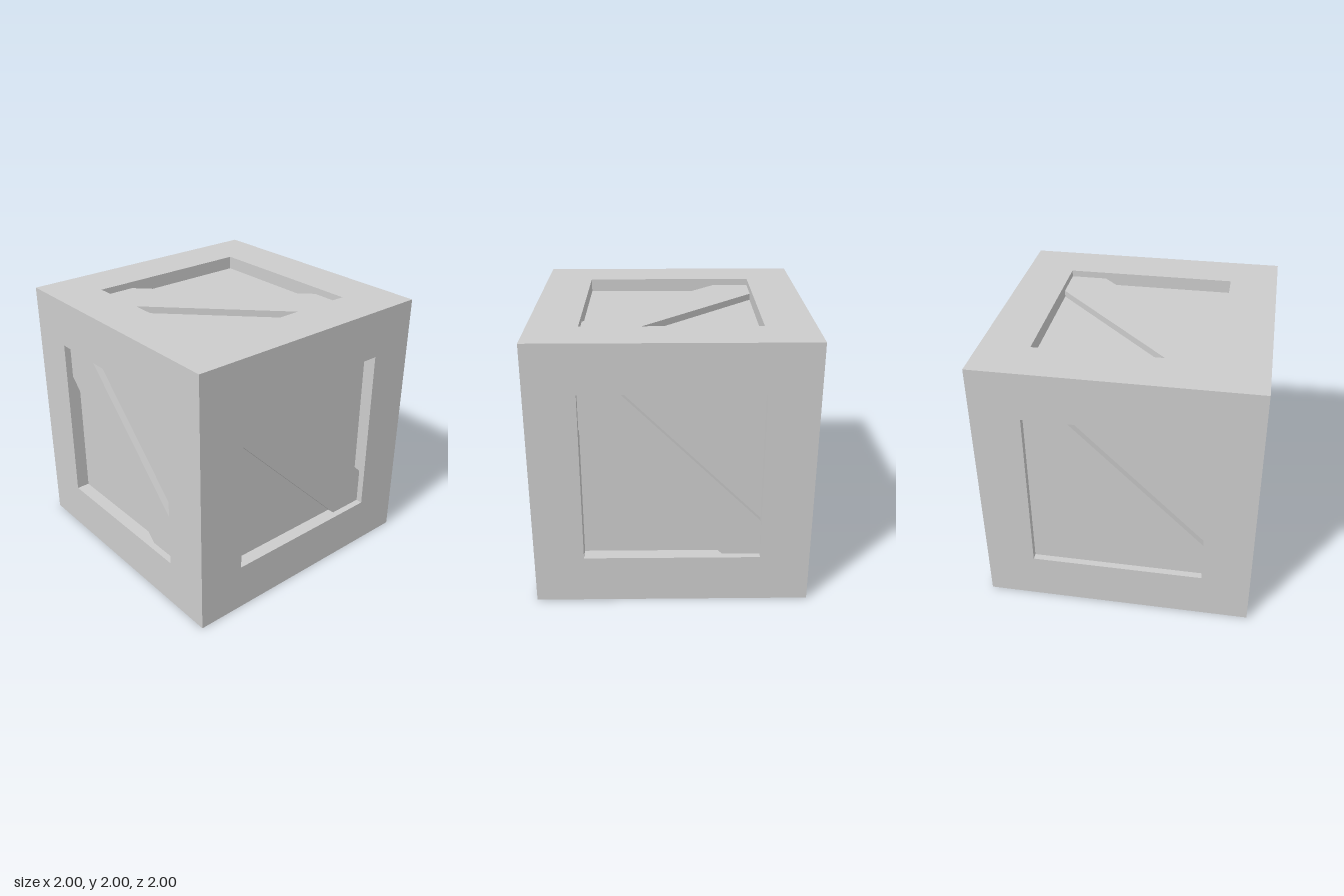
import * as THREE from 'three';

const HALF = 1;        // half the crate's side
const OPEN = 0.64;     // half the opening in each face
const DEPTH = 0.1;     // recess of the panels
const BRACE = 0.05;    // thickness of the braces
const CUT = OPEN - 0.275 * 1; // where the brace edges meet the opening

const material = new THREE.MeshStandardMaterial({ color: 0xcccccc, flatShading: true });

const polygon = (points) => new THREE.Shape(points.map(([x, y]) => new THREE.Vector2(x, y)));
const square = (h) => [[-h, -h], [h, -h], [h, h], [-h, h]];

function part(name, geometry) {
  const mesh = new THREE.Mesh(geometry, material);
  mesh.name = name;
  return mesh;
}

// Square frame whose outer edge is mitred so six of them close into a cube
function frameGeometry() {
  const shape = polygon(square(HALF));
  shape.holes.push(polygon(square(OPEN).reverse()));
  const geometry = new THREE.ExtrudeGeometry(shape, { depth: DEPTH, bevelEnabled: false });
  const pos = geometry.attributes.position;
  const mitre = (v) => (Math.abs(v) > HALF - 0.001 ? Math.sign(v) * (HALF - DEPTH) : v);
  for (let i = 0; i < pos.count; i++) {
    if (pos.getZ(i) < DEPTH / 2) pos.setXY(i, mitre(pos.getX(i)), mitre(pos.getY(i)));
  }
  geometry.translate(0, 0, HALF - DEPTH);
  geometry.computeVertexNormals();
  return geometry;
}

// Board lying on the recessed panel
function boardGeometry(points) {
  const geometry = new THREE.ExtrudeGeometry(polygon(points), { depth: BRACE, bevelEnabled: false });
  return geometry.translate(0, 0, HALF - DEPTH);
}

export function createModel() {
  const model = new THREE.Group();
  model.name = 'crate';

  // Outlines of the boards, seen from outside each face
  const upperEdge = [[OPEN, -OPEN], [OPEN, -CUT], [-CUT, OPEN], [-OPEN, OPEN]];
  const diagonal = boardGeometry([...upperEdge, [-OPEN, CUT], [CUT, -OPEN]]);
  const halfFilled = boardGeometry([...upperEdge, [-OPEN, -OPEN]]);
  const full = boardGeometry(square(OPEN));
  const frame = frameGeometry();

  // Inner box forming the recessed panels
  const inner = 2 * (HALF - DEPTH);
  model.add(part('panels', new THREE.BoxGeometry(inner, inner, inner)));

  // Six sides: name, turn about x, turn about y, board
  const q = Math.PI / 2;
  const sides = [
    ['front', 0, 0, diagonal],
    ['left', 0, q, diagonal],
    ['right', 0, -q, diagonal],
    ['back', 0, 2 * q, halfFilled],
    ['top', -q, 0, diagonal],
    ['bottom', q, 0, full],
  ];
  for (const [name, rx, ry, board] of sides) {
    const side = new THREE.Group();
    side.name = name + 'Side';
    side.add(part(name + 'Frame', frame), part(name + 'Brace', board));
    side.rotation.set(rx, ry, 0);
    model.add(side);
  }

  // Stand the crate on the ground
  for (const child of model.children) child.position.y = HALF;
  return model;
}
